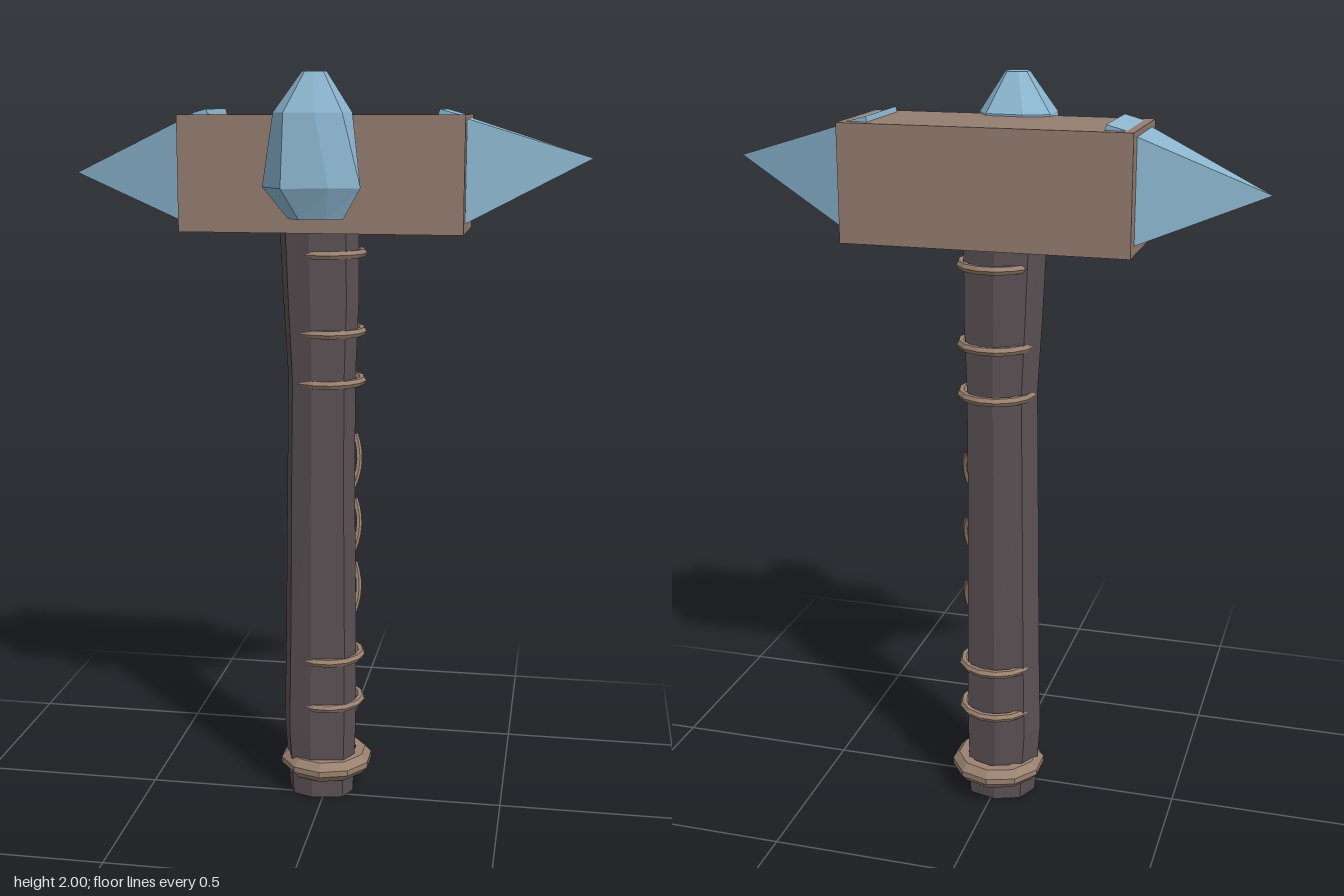
import * as THREE from 'three';

const brown = new THREE.MeshStandardMaterial({ color: 0x947d70 });
brown.name = 'brownWood';
const tan = new THREE.MeshStandardMaterial({ color: 0x9a8270 });
tan.name = 'tanBinding';
const blue = new THREE.MeshStandardMaterial({ color: 0x8cb6d0 });
blue.name = 'blueStone';
const dark = new THREE.MeshStandardMaterial({ color: 0x5a5053 });
dark.name = 'darkGrip';

// Hard facets: every triangle gets its own normal
function facet(geo) {
  const g = geo.index ? geo.toNonIndexed() : geo;
  g.computeVertexNormals();
  return g;
}

// Skin stacked rings ({ y, pts: [x, z] }) from bottom to top, with end caps
function loft(rings) {
  const pos = [];
  const tri = (...p) => p.forEach((v) => pos.push(...v));
  const loops = rings.map((r) => r.pts.map(([x, z]) => [x, r.y, z]));
  const n = loops[0].length;
  const mid = (l) => [0, 1, 2].map((k) => l.reduce((s, p) => s + p[k], 0) / n);
  const first = loops[0], last = loops[loops.length - 1];
  for (let i = 0; i < n; i++) {
    const j = (i + 1) % n;
    for (let k = 0; k < loops.length - 1; k++) {
      const lo = loops[k], up = loops[k + 1];
      tri(lo[i], up[i], lo[j]);
      tri(up[i], up[j], lo[j]);
    }
    tri(mid(first), first[i], first[j]);
    tri(mid(last), last[j], last[i]);
  }
  const g = new THREE.BufferGeometry();
  g.setAttribute('position', new THREE.Float32BufferAttribute(pos, 3));
  return facet(g);
}

export function createModel() {
  const model = new THREE.Group();
  model.name = 'warHammer';
  const add = (name, geo, mat, x = 0, y = 0, z = 0) => {
    const m = new THREE.Mesh(geo, mat);
    m.name = name;
    m.position.set(x, y, z);
    model.add(m);
    return m;
  };

  // Uneven eight-sided handle: each section is [y, left edge, right edge]
  const section = [[0.085, -0.03], [0.06, 0.02], [-0.03, 0.035], [-0.09, 0.015],
    [-0.115, -0.05], [-0.085, -0.11], [-0.01, -0.135], [0.07, -0.115]];
  const stations = [[0, -0.108, 0.078], [0.2, -0.123, 0.085], [0.45, -0.118, 0.085],
    [0.9, -0.112, 0.08], [1.2, -0.108, 0.08], [1.4, -0.12, 0.088], [1.62, -0.13, 0.088]];
  add('handle', loft(stations.map(([y, l, r]) => ({
    y, pts: section.map(([x, z]) => [l + (x + 0.115) / 0.2 * (r - l), z]),
  }))), dark);

  // Cord rings around the handle
  for (const y of [0.27, 0.405, 1.19, 1.325, 1.535]) {
    add('cordRing', facet(new THREE.TorusGeometry(0.094, 0.012, 6, 14).rotateX(Math.PI / 2)),
      tan, 0, y, -0.06);
  }

  // Bevelled pommel band
  const band = [[0.085, -0.028], [0.112, -0.028], [0.13, -0.008], [0.13, 0.008],
    [0.112, 0.028], [0.085, 0.028]].map(([r, y]) => new THREE.Vector2(r, y));
  add('pommelBand', facet(new THREE.LatheGeometry(band, 10)), tan, -0.003, 0.085, -0.06);

  // Slanted grip cords on the left side
  for (const y of [0.595, 0.78, 0.965]) {
    const path = new THREE.QuadraticBezierCurve3(
      new THREE.Vector3(0.074, -0.066, -0.038),
      new THREE.Vector3(0.1, 0, -0.07),
      new THREE.Vector3(0.07, 0.066, -0.102));
    add('gripCord', facet(new THREE.TubeGeometry(path, 6, 0.008, 5)), tan, 0, y, 0);
  }

  // Head block
  add('headBlock', new THREE.BoxGeometry(0.745, 0.3, 0.284), brown, -0.002, 1.745, -0.065);

  // Four-sided spikes at both ends, tips slightly off centre
  for (const [side, baseY, tipY, len] of [[1, 1.753, 1.785, 0.32], [-1, 1.75, 1.74, 0.32]]) {
    const g = new THREE.ConeGeometry(Math.SQRT1_2, 1, 4).rotateY(Math.PI / 4)
      .translate(0, 0.5, 0).scale(0.264, len, 0.198).rotateZ(-side * Math.PI / 2);
    const p = g.attributes.position;
    for (let i = 0; i < p.count; i++) {
      p.setY(i, p.getY(i) + (tipY - baseY) * Math.abs(p.getX(i)) / len);
    }
    add(side > 0 ? 'leftSpike' : 'rightSpike', facet(g), blue, side * 0.371, baseY, -0.065);
  }

  // Tilted inlay bars on top of the head
  for (const side of [-1, 1]) {
    const bar = add('topInlay', new THREE.BoxGeometry(0.055, 0.03, 0.224), blue,
      side * 0.325, 1.887, -0.066);
    bar.rotation.z = -side * 0.27;
  }

  // Irregular faceted crystal on the front
  const lower = [[-0.143, 0.085], [-0.06, 0.04], [0.05, 0.045], [0.1, 0.095],
    [0.116, 0.145], [0.04, 0.178], [-0.078, 0.203], [-0.14, 0.125]];
  const upper = [[-0.11, 0.05], [-0.046, 0.023], [0.054, 0.03], [0.086, 0.085],
    [0.07, 0.15], [0.005, 0.187], [-0.07, 0.202], [-0.108, 0.14]];
  const shrink = (pts, sx, sz, cx, cz) =>
    pts.map(([x, z]) => [cx + (x + 0.013) * sx, cz + (z - 0.115) * sz]);
  add('crystal', loft([
    { y: 1.635, pts: shrink(lower, 0.56, 0.48, -0.003, 0.115) },
    { y: 1.715, pts: lower },
    { y: 1.9, pts: upper },
    { y: 2, pts: shrink(upper, 0.31, 0.38, -0.005, 0.125) },
  ]), blue);

  return model;
}
